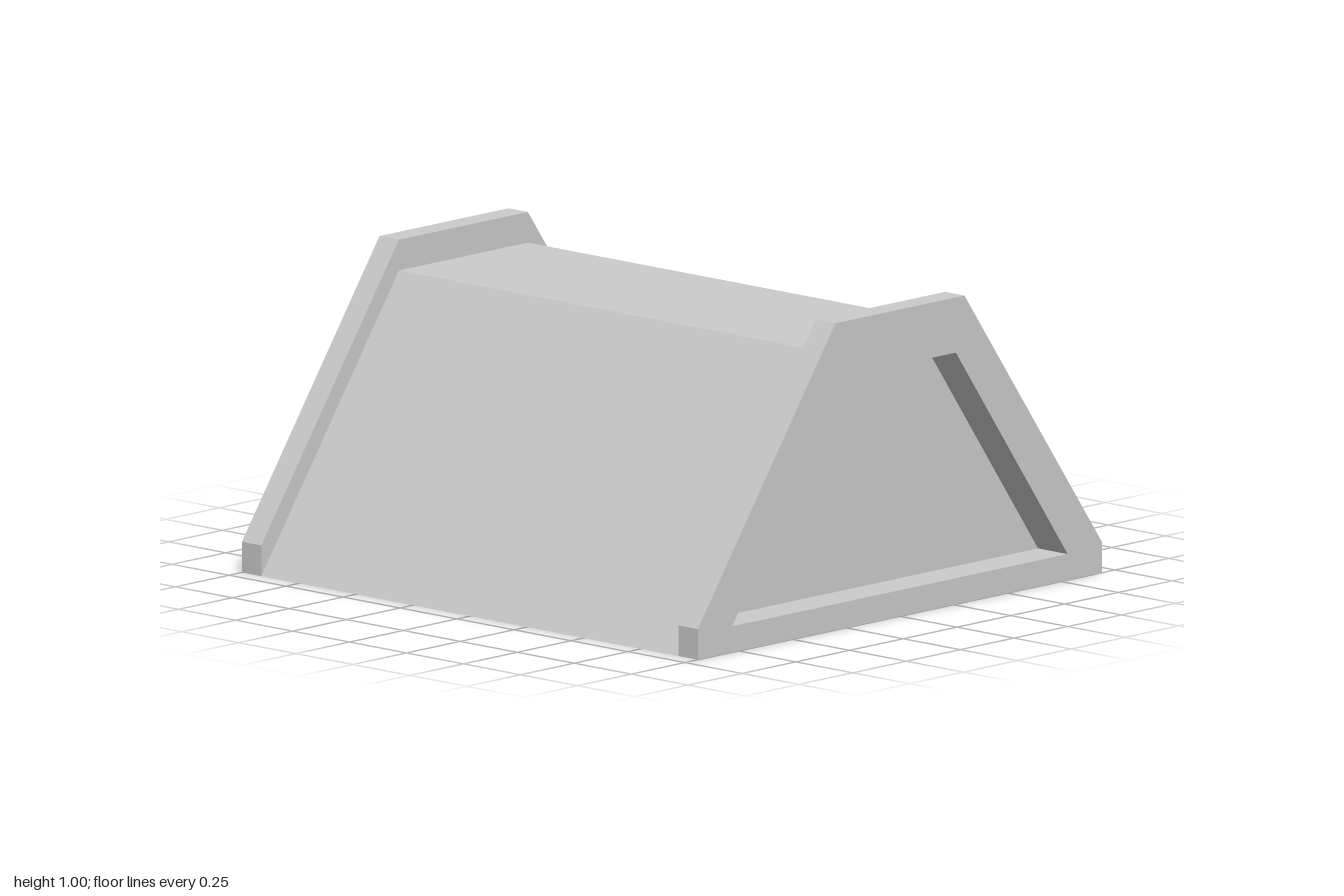
import * as THREE from 'three';

const END = 1, PANEL_IN = 0.915, RECESS = 0.87; // z of panel face, panel back, recess floor

const toPoints = (list) => list.map(([x, y]) => new THREE.Vector2(x, y));

// Cross-section of the body: plain slope on the left, sloping treads on the right
const bodyOutline = [
  [-0.94, 0], [0.94, 0], [0.735, 0.18], [0.735, 0.28], [0.525, 0.48],
  [0.525, 0.58], [0.31, 0.78], [0.3, 0.9], [-0.3, 0.9],
];
const panelOutline = [
  [-0.94, 0], [0.94, 0], [0.94, 0.1], [0.3, 1], [-0.3, 1], [-0.94, 0.1],
];
const recessOutline = [[-0.78, 0.085], [0.78, 0.085], [0.26, 0.82], [-0.26, 0.82]];

function slab(name, outline, z0, z1, hole) {
  const shape = new THREE.Shape(toPoints(outline));
  if (hole) shape.holes.push(new THREE.Path(toPoints(hole)));
  const geometry = new THREE.ExtrudeGeometry(shape, { depth: z1 - z0, bevelEnabled: false });
  geometry.translate(0, 0, z0);
  const material = new THREE.MeshStandardMaterial({ color: 0xcccccc, flatShading: true });
  const mesh = new THREE.Mesh(geometry, material);
  mesh.name = name;
  return mesh;
}

export function createModel() {
  const model = new THREE.Group();
  model.name = 'steppedBlock';

  // Solid stepped body between the recess floors
  model.add(slab('steppedBody', bodyOutline, -RECESS, RECESS));

  // Each end: a collar carrying the recess into the body, then the raised end frame
  for (const [side, s] of [['front', 1], ['back', -1]]) {
    const span = (a, b) => (s > 0 ? [a, b] : [-b, -a]);
    model.add(slab(side + 'BodyCollar', bodyOutline, ...span(RECESS, PANEL_IN), recessOutline));
    model.add(slab(side + 'EndFrame', panelOutline, ...span(PANEL_IN, END), recessOutline));
  }
  return model;
}
